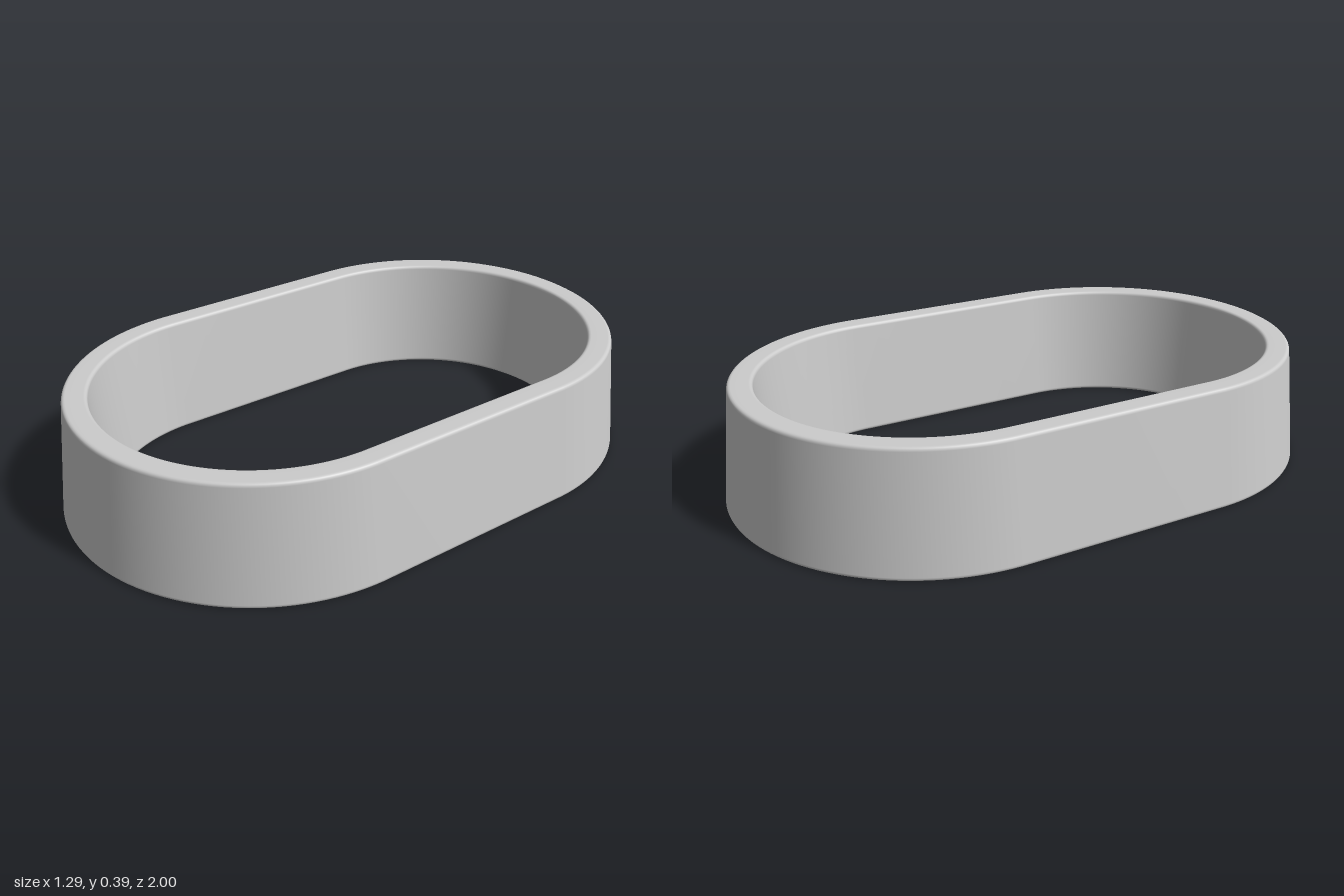
import * as THREE from 'three';

const STRAIGHT = 0.352; // half length of the straight sides
const FILLET = 0.012;
const SEGMENTS = 130;   // 4k + 2, so one segment on each side spans z = 0

// Closed wall section with every corner rounded, starting mid-way along the base
function wallProfile() {
  const corners = [[0.648, 0], [0.61, 0.388], [0.532, 0.388], [0.493, 0]]
    .map(([x, y]) => new THREE.Vector2(x, y));
  const start = new THREE.Vector2(0.57, 0);
  const points = [start];
  corners.forEach((corner, i) => {
    const before = corners[i - 1] ?? start;
    const after = corners[i + 1] ?? start;
    const toward = (p) => p.clone().sub(corner).setLength(FILLET).add(corner);
    points.push(...new THREE.QuadraticBezierCurve(toward(before), corner, toward(after)).getPoints(4));
  });
  points.push(start.clone());
  return points;
}

export function createModel() {
  const group = new THREE.Group();
  group.name = 'ovalRing';

  // Revolve the wall, then pull the two halves apart to form the straight sides
  const geometry = new THREE.LatheGeometry(wallProfile(), SEGMENTS);
  const position = geometry.attributes.position;
  for (let i = 0; i < position.count; i++) {
    const z = position.getZ(i);
    position.setZ(i, z + Math.sign(z) * STRAIGHT);
  }

  const wall = new THREE.Mesh(geometry, new THREE.MeshStandardMaterial({ color: 0xcccccc }));
  wall.name = 'taperedWall';
  group.add(wall);
  return group;
}
